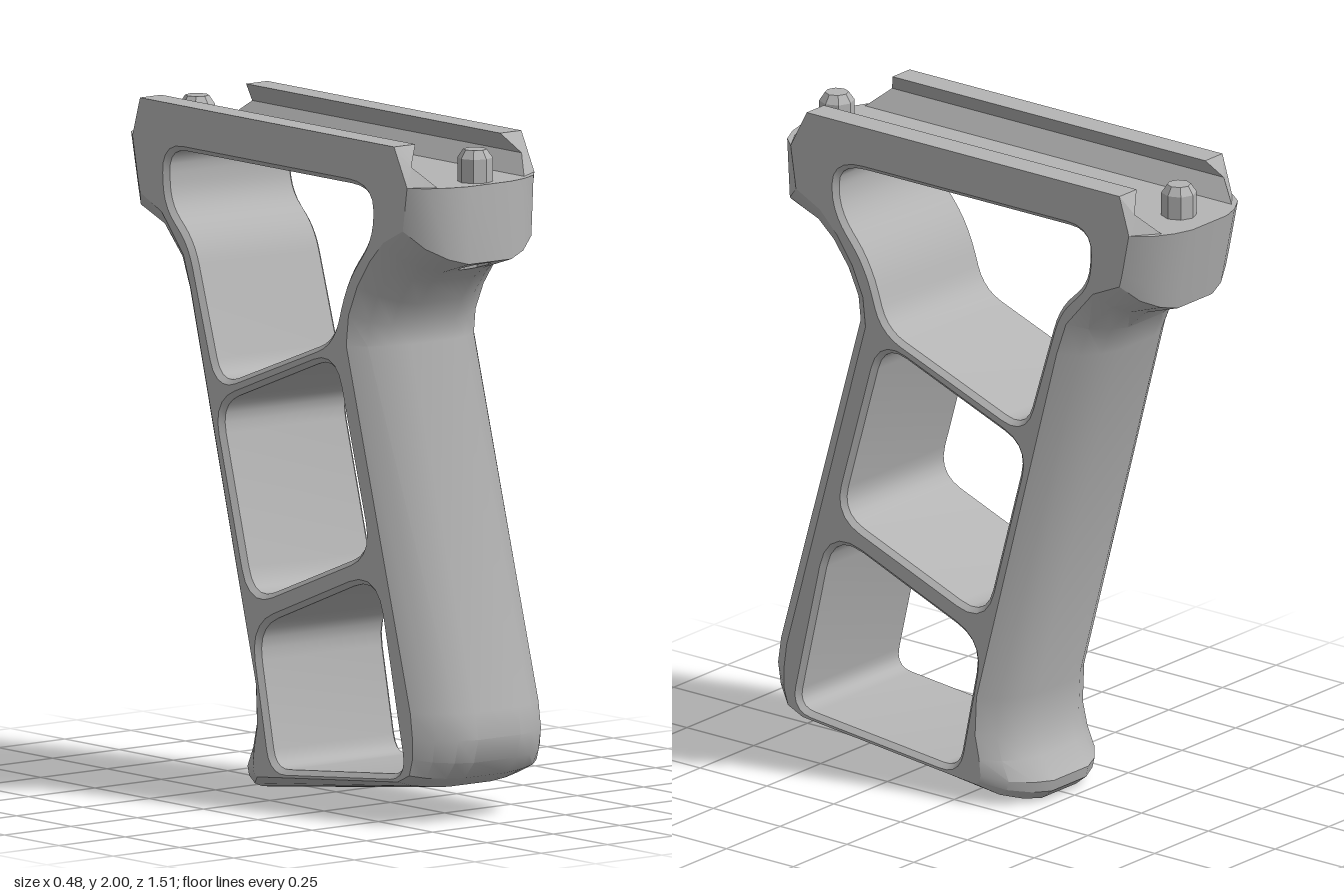
import * as THREE from 'three';
import { toCreasedNormals } from 'three/addons/utils/BufferGeometryUtils.js';

const HALF = 0.24, FLOOR = 1.885, PEG_Z = 0.64;

// Side outline as [z, y at the middle, z, y at the flat sides], from front top, under, to back top
const OUTLINE = [
  [0.71, FLOOR, 0.62, FLOOR], [0.71, 1.655, 0.6, 1.755], [0.585, 1.615, 0.51, 1.71],
  [0.535, 1.58, 0.446, 1.645], [0.48, 1.51, 0.39, 1.565], [0.446, 1.44, 0.35, 1.475],
  [0.44, 1.385, 0.34, 1.385], [0.74, 0.335, 0.635, 0.335], [0.753, 0.255, 0.645, 0.26],
  [0.733, 0.185, 0.645, 0.2], [0.69, 0.135, 0.63, 0.15], [0.615, 0.1, 0.575, 0.125],
  [-0.19, 0, -0.07, 0.06], [-0.228, 0.03, -0.085, 0.07], [-0.237, 0.065, -0.09, 0.09],
  [-0.19, 0.13, -0.085, 0.14], [-0.17, 0.205, -0.07, 0.21], [-0.175, 0.32, -0.075, 0.33],
  [-0.48, 1.45, -0.375, 1.46], [-0.515, 1.53, -0.41, 1.56], [-0.58, 1.59, -0.51, 1.675],
  [-0.7, 1.63, -0.61, 1.72], [-0.715, 1.7, -0.62, 1.76], [-0.755, FLOOR, -0.645, FLOOR],
];

// Window corners as [z, y, corner radius]
const WINDOWS = [
  [[0.45, 1.865, 0.1], [-0.495, 1.865, 0.08], [-0.485, 1.7, 0.06], [-0.375, 1.6, 0.07],
    [-0.25, 1.195, 0.08], [0.27, 1.39, 0.07], [0.33, 1.58, 0.09], [0.45, 1.72, 0.08]],
  [[0.28, 1.345, 0.09], [-0.255, 1.14, 0.09], [-0.1, 0.575, 0.1], [0.44, 0.785, 0.09]],
  [[0.47, 0.72, 0.12], [-0.085, 0.5, 0.1], [0, 0.09, 0.06], [0.6, 0.15, 0.06]],
];

// Skin between successive loops of points
function loft(loops, skip = () => false) {
  const n = loops[0].length, index = [];
  for (let i = 0; i < loops.length - 1; i++) {
    for (let j = 0; j < n; j++) {
      if (skip(i, j)) continue;
      const k = (j + 1) % n;
      const a = i * n + j, b = i * n + k, c = b + n, d = a + n;
      index.push(a, b, c, a, c, d);
    }
  }
  const geometry = new THREE.BufferGeometry().setFromPoints(loops.flat());
  geometry.setIndex(index);
  return geometry;
}

// Closed loop of (z, y) points with rounded corners
function roundedLoop(corners) {
  const points = [], n = corners.length;
  corners.forEach(([z, y, r], i) => {
    const p = new THREE.Vector2(z, y);
    const toward = ([a, b]) => {
      const d = new THREE.Vector2(a, b).sub(p);
      return p.clone().addScaledVector(d, Math.min(r / d.length(), 0.45));
    };
    const bend = new THREE.QuadraticBezierCurve(
      toward(corners[(i + n - 1) % n]), p, toward(corners[(i + 1) % n]));
    points.push(...bend.getPoints(5));
  });
  return points;
}

// Widen a window loop for its bevel
function widen(loop, amount) {
  const n = loop.length;
  return loop.map((p, i) => {
    const t = loop[(i + 1) % n].clone().sub(loop[(i + n - 1) % n]).normalize();
    return new THREE.Vector2(p.x + t.y * amount, p.y - t.x * amount);
  });
}

export function createModel() {
  const group = new THREE.Group();
  const grey = new THREE.MeshStandardMaterial({ color: 0xb4b4b4 });
  grey.name = 'satin grey';
  const add = (name, geometry, crease = 0.5) => {
    const mesh = new THREE.Mesh(toCreasedNormals(geometry, crease), grey);
    mesh.name = name;
    group.add(mesh);
  };
  const at = (x, loop) => loop.map((p) => new THREE.Vector3(x, p.y, p.x));

  // Rounded outer skin, leaving openings for the two screw recesses
  const half = [[0.08, 0], [0.14, 0.17], [0.2, 0.5], [HALF, 1]];
  const levels = [...half.map(([x, t]) => [-x, t]).reverse(), ...half];
  const section = ([x, t]) => OUTLINE.map(([z, y, iz, iy]) => new THREE.Vector3(
    x, THREE.MathUtils.lerp(y, iy, t), THREE.MathUtils.lerp(z, iz, t)));
  const under = [1, OUTLINE.length - 4];
  add('gripShell', loft(levels.map(section), (i, j) => i === 3 && under.includes(j)));

  // Windows with bevelled rims
  const inner = WINDOWS.map(roundedLoop);
  const rims = inner.map((loop) => widen(loop, 0.015));
  inner.forEach((loop, i) => {
    add('windowWall', loft([at(-HALF, rims[i]), at(-HALF + 0.015, loop),
      at(HALF - 0.015, loop), at(HALF, rims[i])]));
  });

  // Flat side faces
  for (const side of [-1, 1]) {
    const flat = (p) => new THREE.Vector2(-side * p.x, p.y);
    const face = new THREE.Shape(OUTLINE.map(([, , z, y]) => new THREE.Vector2(-side * z, y)));
    face.holes = rims.map((rim) => new THREE.Path(rim.map(flat)));
    const geometry = new THREE.ShapeGeometry(face);
    geometry.rotateY(side * Math.PI / 2).translate(side * HALF, 0, 0);
    add('sideFace', geometry);
  }

  // Dovetail rails with sloping ends
  for (const side of [-1, 1]) {
    const profile = [[HALF, FLOOR], [HALF, 2], [0.16, 2], [0.208, 1.942], [0.164, FLOOR]];
    const shape = new THREE.Shape(profile.map(([x, y]) => new THREE.Vector2(side * x, y)));
    const rail = new THREE.ExtrudeGeometry(shape, { depth: 1, bevelEnabled: false });
    const p = rail.attributes.position;
    for (let i = 0; i < p.count; i++) {
      const drop = (2 - p.getY(i)) / (2 - FLOOR), inset = HALF - Math.abs(p.getX(i));
      p.setZ(i, p.getZ(i) > 0.5 ? 0.56 + drop * (0.06 + inset * 0.6)
        : -0.61 - drop * (0.035 + inset * 0.8));
    }
    add('rail', rail, 0.3);
  }

  // Screw pegs, and the recesses beneath them
  [1, -1].forEach((end, e) => {
    const [z0, y0] = OUTLINE[under[e]], [z1, y1] = OUTLINE[under[e] + 1];
    const underY = (z) => y0 + (y1 - y0) * (z - z0) / (z1 - z0);
    const peg = new THREE.LatheGeometry([[0, 1.8], [0.052, 1.8], [0.052, 1.955], [0.035, 1.98], [0, 1.98]]
      .map(([x, y]) => new THREE.Vector2(x, y)), 8);
    add('screwPeg', peg.translate(0, 0, end * PEG_Z), 0.3);

    const ring = Array.from({ length: 8 }, (_, i) => new THREE.Vector2(
      0.05 * Math.cos(i * Math.PI / 4), end * PEG_Z + 0.05 * Math.sin(i * Math.PI / 4)));
    const plate = new THREE.Shape([[-0.08, z0], [0.08, z0], [0.08, z1], [-0.08, z1]]
      .map(([x, z]) => new THREE.Vector2(x, z)));
    plate.holes.push(new THREE.Path(ring));
    const patch = new THREE.ShapeGeometry(plate);
    const p = patch.attributes.position;
    for (let i = 0; i < p.count; i++) p.setXYZ(i, p.getX(i), underY(p.getY(i)), p.getY(i));
    add('recessRim', patch);
    add('recessWall', loft([
      ring.map((q) => new THREE.Vector3(q.x, underY(q.y), q.y)),
      ring.map((q) => new THREE.Vector3(q.x, 1.8, q.y))]));
  });

  return group;
}
